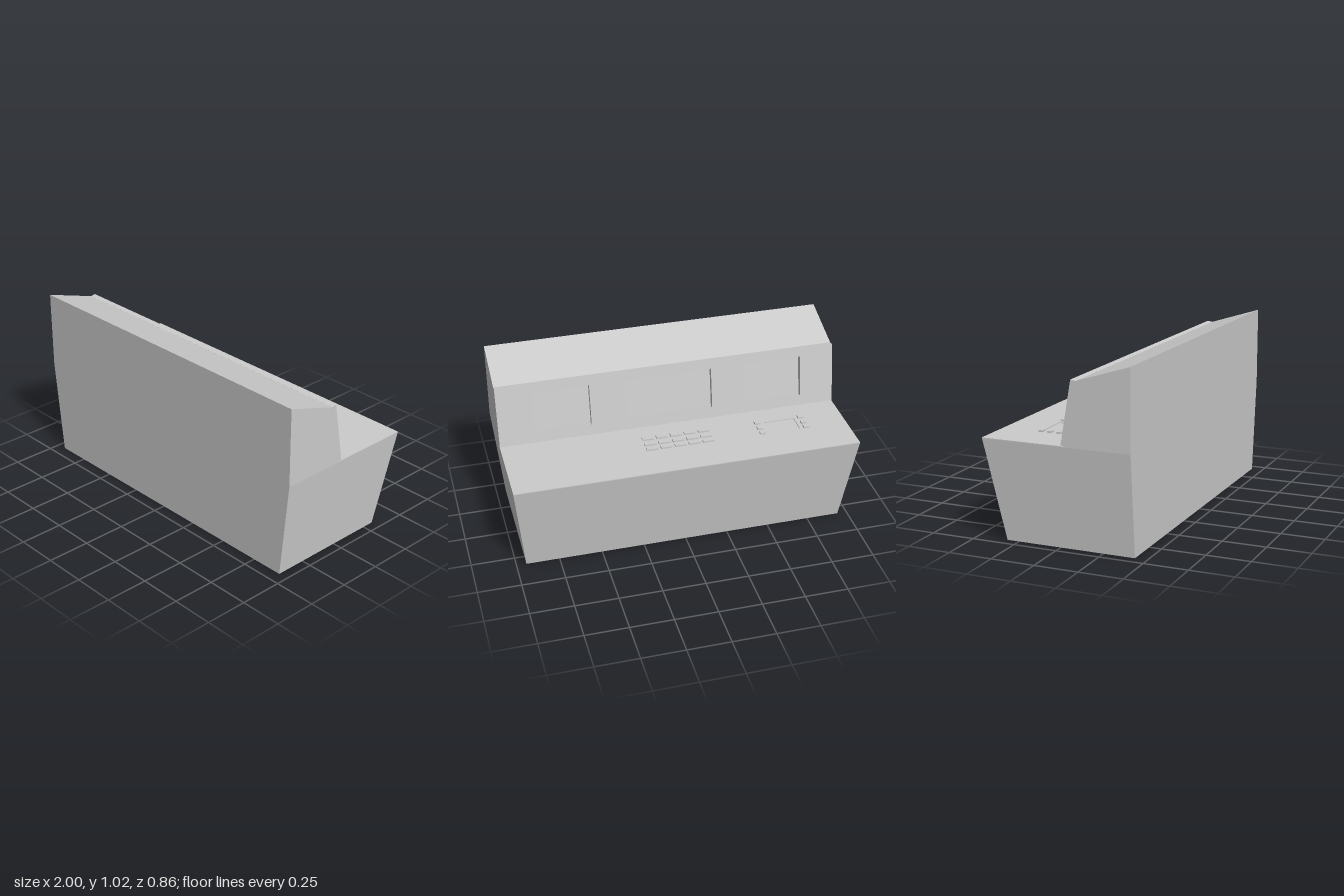
import * as THREE from 'three';

const DECK_Y = 0.573;
const DECK_T = 0.005;
const mat = new THREE.MeshStandardMaterial({ color: 0xcccccc, flatShading: true });

function rectPoints(x0, y0, x1, y1) {
  return [[x0, y0], [x1, y0], [x1, y1], [x0, y1]].map(([x, y]) => new THREE.Vector2(x, y));
}

// Rectangular plate with rectangular openings
function plate(outer, holes, depth) {
  const shape = new THREE.Shape(rectPoints(...outer));
  for (const h of holes) shape.holes.push(new THREE.Path(rectPoints(...h)));
  return new THREE.ExtrudeGeometry(shape, { depth, bevelEnabled: false });
}

// Side profile given as [z, y] points, extruded across the full width
function acrossWidth(points) {
  const shape = new THREE.Shape(points.map(([z, y]) => new THREE.Vector2(z, y)));
  const geo = new THREE.ExtrudeGeometry(shape, { depth: 2, bevelEnabled: false });
  return geo.rotateY(-Math.PI / 2).translate(1, 0, 0);
}

export function createModel() {
  const model = new THREE.Group();
  model.name = 'controlConsole';
  const add = (name, geo, parent = model) => {
    const mesh = new THREE.Mesh(geo, mat);
    mesh.name = name;
    parent.add(mesh);
    return mesh;
  };

  // Base: sides taper inward towards the floor
  const baseTop = DECK_Y - DECK_T;
  const base = acrossWidth([[0.43, 0], [0.43, baseTop], [-0.429, baseTop], [-0.32, 0]]);
  const pos = base.attributes.position;
  for (let i = 0; i < pos.count; i++) {
    pos.setX(i, pos.getX(i) * THREE.MathUtils.lerp(0.943, 1, pos.getY(i) / baseTop));
  }
  base.computeVertexNormals();
  add('base', base);

  // Desk top with a shallow touch pad recess
  const deck = plate([-1, -0.43, 1, 0.43], [[-0.715, -0.205, -0.53, -0.09]], DECK_T);
  add('deskTop', deck.rotateX(Math.PI / 2).translate(0, DECK_Y, 0));

  // Hood behind the screens; its sloped face forms the screen surfaces
  add('hood', acrossWidth([[0.43, DECK_Y], [0.43, 1.022], [0.125, 0.925], [0.064, DECK_Y]]));

  // Tilted panel with three screen openings
  const screens = [[-0.8, 0.06, -0.455, 0.305], [-0.257, 0.06, 0.257, 0.305], [0.463, 0.06, 0.795, 0.305]];
  const panel = add('screenPanel', plate([-1, 0, 1, 0.357], screens, 0.03));
  panel.position.set(0, 0.578, 0.035);
  panel.rotation.x = Math.atan2(0.06, 0.352);

  // Raised keys and buttons
  const keyAt = (name, parent, x, z, w, d) => {
    const key = add(name, new THREE.BoxGeometry(w, 0.012, d), parent);
    key.position.set(x, DECK_Y + 0.004, z);
  };
  const keyboard = new THREE.Group();
  keyboard.name = 'keyboard';
  const buttons = new THREE.Group();
  buttons.name = 'padButtons';
  model.add(keyboard, buttons);
  for (const z of [-0.088, -0.144, -0.194]) {
    for (let c = -2; c <= 2; c++) keyAt('key', keyboard, c * 0.083, z, 0.066, 0.028);
    for (const x of [-0.49, -0.755]) keyAt('button', buttons, x, z - 0.004, 0.032, 0.026);
  }

  return model;
}
